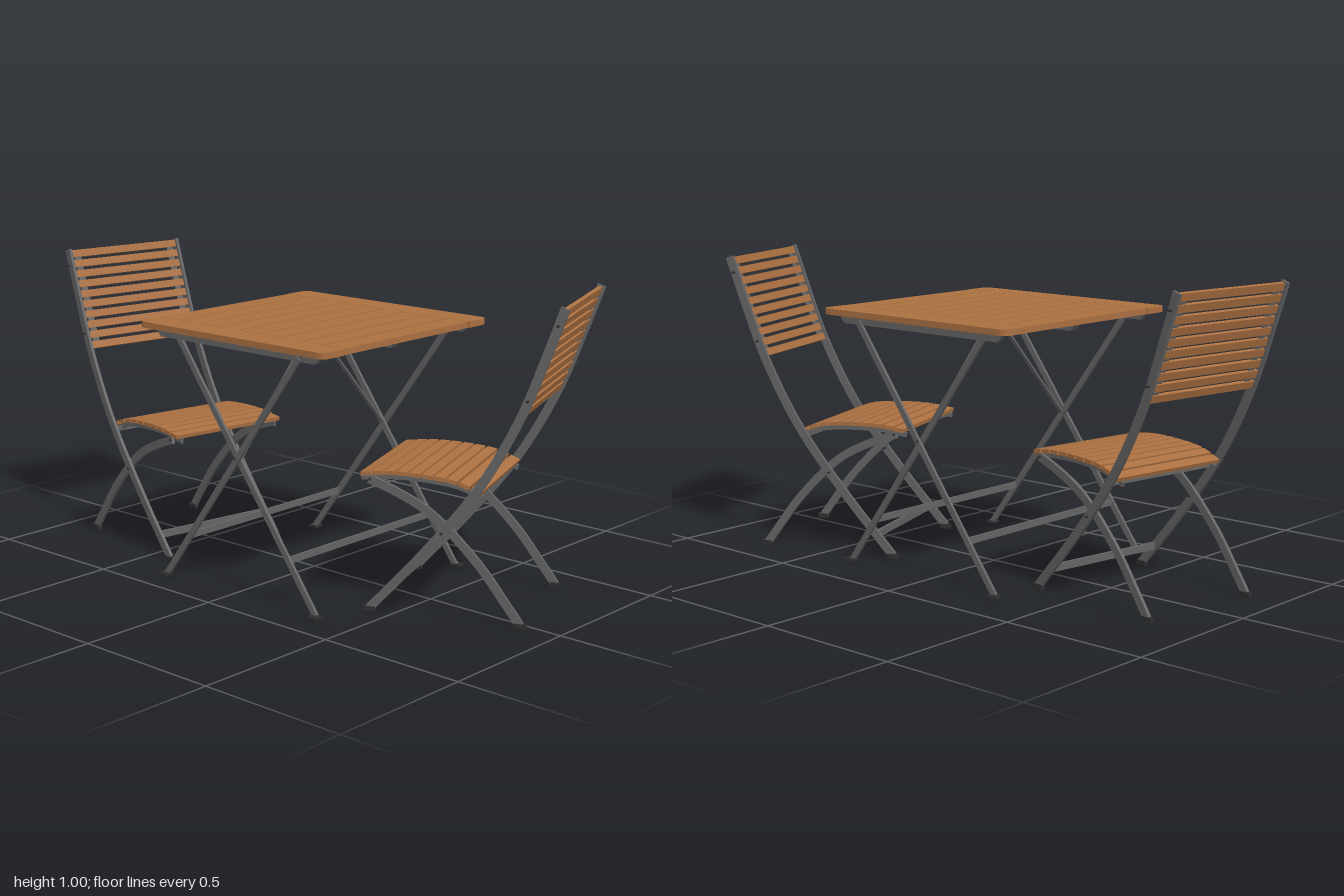
import * as THREE from 'three';

const wood = new THREE.MeshStandardMaterial({ color: 0xab7041 });
wood.name = 'warm wood';
const metal = new THREE.MeshStandardMaterial({ color: 0x646464 });
metal.name = 'grey metal';
const black = new THREE.MeshStandardMaterial({ color: 0x303030 });
black.name = 'black plastic';

function add(parent, name, geo, mat, x = 0, y = 0, z = 0) {
  const m = new THREE.Mesh(geo, mat);
  m.name = name;
  m.position.set(x, y, z);
  parent.add(m);
  return m;
}

const box = (parent, name, mat, w, h, d, x, y, z) =>
  add(parent, name, new THREE.BoxGeometry(w, h, d), mat, x, y, z);

// Smooth side-view path through [z, y] points
const path = (pts) => new THREE.CatmullRomCurve3(pts.map(([z, y]) => new THREE.Vector3(0, y, z)));

// Extrudes a side-view (z, y) shape across x, centred on x = 0
function acrossX(shape, width) {
  const g = new THREE.ExtrudeGeometry(shape, { depth: width, bevelEnabled: false });
  return g.translate(0, 0, -width / 2).rotateY(-Math.PI / 2);
}

// Flat metal strip that follows a side-view path
function strip(curve, depth, width, n = 14) {
  const a = [], b = [];
  for (let i = 0; i <= n; i++) {
    const p = curve.getPointAt(i / n), t = curve.getTangentAt(i / n);
    const nz = -t.y * depth / 2, ny = t.z * depth / 2;
    a.push(new THREE.Vector2(p.z + nz, p.y + ny));
    b.unshift(new THREE.Vector2(p.z - nz, p.y - ny));
  }
  return acrossX(new THREE.Shape([...a, ...b]), width);
}

// Straight bar between two points
function bar(parent, name, from, to, w, d) {
  const a = new THREE.Vector3(...from), b = new THREE.Vector3(...to);
  const m = box(parent, name, metal, w, a.distanceTo(b), d, 0, 0, 0);
  m.position.copy(a).add(b).multiplyScalar(0.5);
  m.quaternion.setFromUnitVectors(new THREE.Vector3(0, 1, 0), b.sub(a).normalize());
}

function bolt(parent, x, y, z, length = 0.016) {
  add(parent, 'bolt', new THREE.CylinderGeometry(0.004, 0.004, length, 8).rotateZ(Math.PI / 2), black, x, y, z);
}

function createTable() {
  const g = new THREE.Group();
  g.name = 'table';
  const top = 0.842, thick = 0.02;

  // Tabletop: two end boards with rounded outer corners, nine slats between
  for (const s of [-1, 1]) {
    const r = 0.03, sh = new THREE.Shape();
    sh.moveTo(0.302, -0.4);
    sh.lineTo(0.4 - r, -0.4);
    sh.quadraticCurveTo(0.4, -0.4, 0.4, -0.4 + r);
    sh.lineTo(0.4, 0.4 - r);
    sh.quadraticCurveTo(0.4, 0.4, 0.4 - r, 0.4);
    sh.lineTo(0.302, 0.4);
    const geo = new THREE.ExtrudeGeometry(sh, { depth: thick, bevelEnabled: false, curveSegments: 5 });
    geo.translate(0, 0, -thick / 2).rotateX(-Math.PI / 2);
    if (s < 0) geo.rotateY(Math.PI);
    add(g, 'tabletopEndBoard', geo, wood, 0, top, 0);
  }
  const pitch = 0.8 / 9;
  for (let i = 0; i < 9; i++)
    box(g, 'tabletopSlat', wood, 0.6, thick, pitch - 0.008, 0, top, (i - 4) * pitch);

  // Battens under the top with slanted ends
  const batten = new THREE.Shape([[-0.36, 0.832], [-0.335, 0.804], [0.335, 0.804], [0.36, 0.832]]
    .map((p) => new THREE.Vector2(...p)));
  for (const x of [-0.355, 0, 0.355])
    add(g, 'batten', acrossX(batten, x ? 0.016 : 0.03), metal, x, 0, 0);

  // Two crossing leg frames, one just inside the other
  for (const [s, half] of [[1, 0.363], [-1, 0.349]]) {
    for (const x of [-half, half]) {
      bar(g, 'tableLeg', [x, 0.815, 0.27 * s], [x, 0.008, -0.325 * s], 0.01, 0.02);
      box(g, 'tableFoot', black, 0.032, 0.008, 0.036, x + Math.sign(x) * 0.006, 0.008, -0.328 * s);
    }
    box(g, 'tableCrossbar', metal, half * 2, 0.022, 0.008, 0, 0.163, -0.211 * s);
  }

  // Diagonal stays from the pivots to the middle batten
  for (const s of [-1, 1]) {
    bar(g, 'stay', [s * 0.343, 0.455, 0], [s * 0.015, 0.815, 0], 0.006, 0.016);
    bolt(g, s * 0.356, 0.455, 0, 0.03);
  }
  return g;
}

function createChair() {
  const g = new THREE.Group();
  g.name = 'foldingChair';
  const post = path([[0, 0.997], [0.052, 0.85], [0.125, 0.66], [0.25, 0.43], [0.42, 0.21], [0.595, 0.012]]);
  const leg = path([[0.605, 0.425], [0.51, 0.39], [0.4, 0.332], [0.25, 0.19], [0.165, 0.08], [0.115, 0.012]]);
  const seat = path([[0.243, 0.41], [0.32, 0.438], [0.44, 0.45], [0.55, 0.449], [0.635, 0.438]]);
  const samples = post.getSpacedPoints(400);
  const postAt = (y) => samples.find((p) => p.y <= y) || samples[400];

  for (const s of [-1, 1]) {
    // Long posts running from the back top to the front feet
    add(g, 'backPost', strip(post, 0.028, 0.011, 20), metal, s * 0.226);
    box(g, 'frontFoot', black, 0.014, 0.016, 0.04, s * 0.226, 0.01, 0.595);
    // Curved legs running from the seat front to the rear feet
    add(g, 'curvedLeg', strip(leg, 0.027, 0.011, 18), metal, s * 0.212);
    box(g, 'rearFoot', black, 0.014, 0.016, 0.038, s * 0.212, 0.01, 0.113);
    // Seat rail under the slats
    add(g, 'seatRail', strip(seat, 0.016, 0.01), metal, s * 0.195, -0.015, 0);
    // Thin strip threaded through the back slats
    const a = postAt(0.985), m = postAt(0.83), b = postAt(0.67);
    const link = strip(path([[a.z, a.y], [m.z, m.y], [b.z, b.y]]), 0.004, 0.025, 8);
    add(g, 'backSlatLink', link, metal, s * 0.195);
    for (const y of [0.945, 0.715]) bolt(g, s * 0.236, y, postAt(y).z);
    bolt(g, s * 0.22, 0.28, postAt(0.28).z, 0.036);
    bolt(g, s * 0.21, 0.425, 0.6, 0.026);
  }

  // Back slats follow the lean of the posts
  for (let i = 0; i < 10; i++) {
    const y = 0.982 - i * 0.0343, p = postAt(y);
    const lean = Math.atan2(postAt(y - 0.02).z - postAt(y + 0.02).z, 0.04);
    box(g, 'backSlat', wood, 0.441, 0.025, 0.012, 0, y, p.z).rotation.x = -lean;
  }

  // Seat slats follow the domed seat line
  for (let i = 0; i < 10; i++) {
    const u = (i + 0.5) / 10, p = seat.getPointAt(u), t = seat.getTangentAt(u);
    box(g, 'seatSlat', wood, 0.434, 0.013, 0.033, 0, p.y, p.z).rotation.x = -Math.atan2(t.y, t.z);
  }

  // Cross members
  box(g, 'seatRearBar', metal, 0.45, 0.016, 0.014, 0, 0.401, 0.268);
  box(g, 'lowCrossbar', metal, 0.452, 0.024, 0.01, 0, 0.08, postAt(0.08).z);
  return g;
}

export function createModel() {
  const model = new THREE.Group();
  model.name = 'gardenTableAndChairs';

  const table = createTable();
  table.position.set(-0.03, 0, 0.025);
  model.add(table);

  // Each chair is placed by the top middle of its back
  for (const [x, z, turn] of [[0.028, -0.955, -0.153], [0.207, 0.905, Math.PI + 0.357]]) {
    const chair = createChair();
    chair.position.set(x, 0, z);
    chair.rotation.y = turn;
    model.add(chair);
  }
  return model;
}
